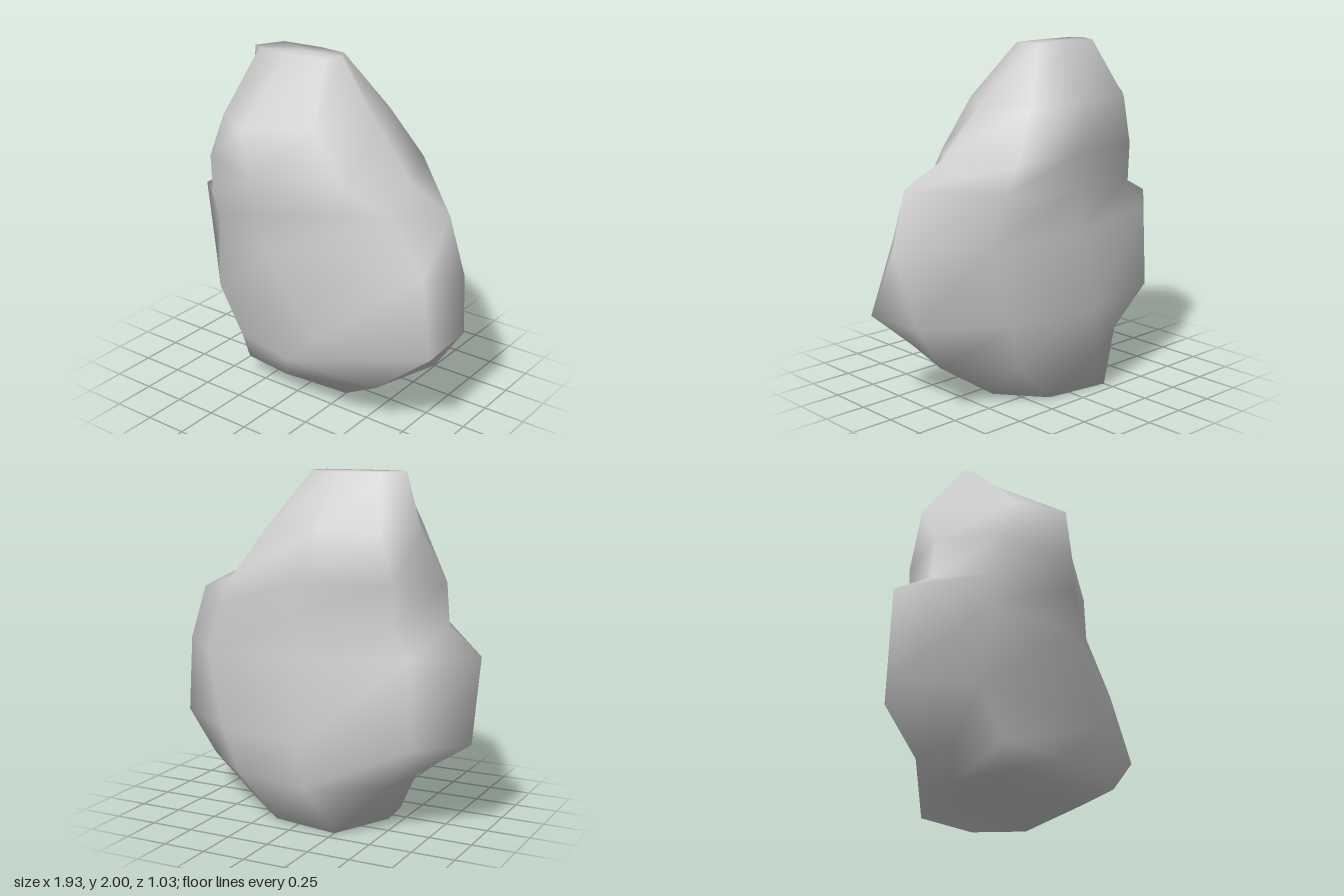
import * as THREE from 'three';

// Cross-sections from the ground up: height, slope (rise per unit of x), then the x,z
// corners: +x side, front +x, front, front -x, -x side, back -x, back, back +x
const SECTIONS = [
  [0.075, 0, 0.41, -0.18, 0.36, 0.26, -0.05, 0.30, -0.37, 0.25, -0.48, -0.03, -0.47, -0.18, -0.25, -0.43, 0.15, -0.38],
  [0.26, 0, 0.73, -0.11, 0.60, 0.31, 0.00, 0.35, -0.42, 0.26, -0.55, 0.02, -0.50, -0.28, -0.10, -0.50, 0.40, -0.39],
  [0.52, 0, 0.90, -0.13, 0.92, 0.26, 0.28, 0.43, -0.61, 0.23, -0.93, -0.10, -0.68, -0.36, -0.06, -0.52, 0.48, -0.42],
  [0.98, -0.04, 0.96, 0.00, 0.81, 0.19, -0.05, 0.46, -0.56, 0.27, -0.97, -0.08, -0.66, -0.35, 0.00, -0.47, 0.60, -0.37],
  [1.21, 0.07, 0.86, 0.01, 0.56, 0.18, -0.10, 0.50, -0.57, 0.31, -0.75, 0.00, -0.55, -0.32, 0.00, -0.44, 0.50, -0.40],
  [1.40, 0, 0.60, 0.00, 0.36, 0.29, -0.12, 0.51, -0.57, 0.32, -0.73, 0.00, -0.55, -0.33, 0.00, -0.42, 0.42, -0.41],
  [1.68, 0, 0.35, -0.03, 0.15, 0.28, -0.18, 0.51, -0.44, 0.34, -0.65, -0.17, -0.48, -0.34, -0.10, -0.39, 0.24, -0.32],
  [2.00, 0, 0.07, -0.08, 0.03, 0.02, -0.22, 0.05, -0.42, 0.04, -0.48, 0.00, -0.40, -0.16, -0.15, -0.18, 0.03, -0.16],
];
const CORNERS = 8;
const BASE_TILT = 0.17; // the underside lifts towards the front

function rockGeometry() {
  const positions = [];
  const index = [];
  SECTIONS.forEach(([y, slope, ...corners], ring) => {
    const tilt = ring === 0 ? BASE_TILT : 0;
    for (let j = 0; j < CORNERS; j++) {
      const x = corners[j * 2];
      const z = corners[j * 2 + 1];
      positions.push(x, y + slope * x + tilt * z, z);
    }
  });

  // Walls between neighbouring sections
  const last = (SECTIONS.length - 1) * CORNERS;
  for (let ring = 0; ring < last; ring += CORNERS) {
    for (let j = 0; j < CORNERS; j++) {
      const a = ring + j;
      const b = ring + (j + 1) % CORNERS;
      const c = a + CORNERS;
      const d = b + CORNERS;
      index.push(a, c, b, b, c, d);
    }
  }

  // Bottom and top caps
  const bottom = positions.length / 3;
  const top = bottom + 1;
  positions.push(-0.03, 0.05, -0.1, -0.2, 2, -0.07);
  for (let j = 0; j < CORNERS; j++) {
    const k = (j + 1) % CORNERS;
    index.push(bottom, j, k);
    index.push(top, last + k, last + j);
  }

  const geometry = new THREE.BufferGeometry();
  geometry.setAttribute('position', new THREE.Float32BufferAttribute(positions, 3));
  geometry.setIndex(index);
  geometry.computeVertexNormals();
  return geometry;
}

export function createModel() {
  const model = new THREE.Group();
  model.name = 'rock';
  const stone = new THREE.MeshStandardMaterial({ color: 0xcccccc });
  stone.name = 'grey stone';
  const boulder = new THREE.Mesh(rockGeometry(), stone);
  boulder.name = 'boulder';
  model.add(boulder);
  return model;
}
